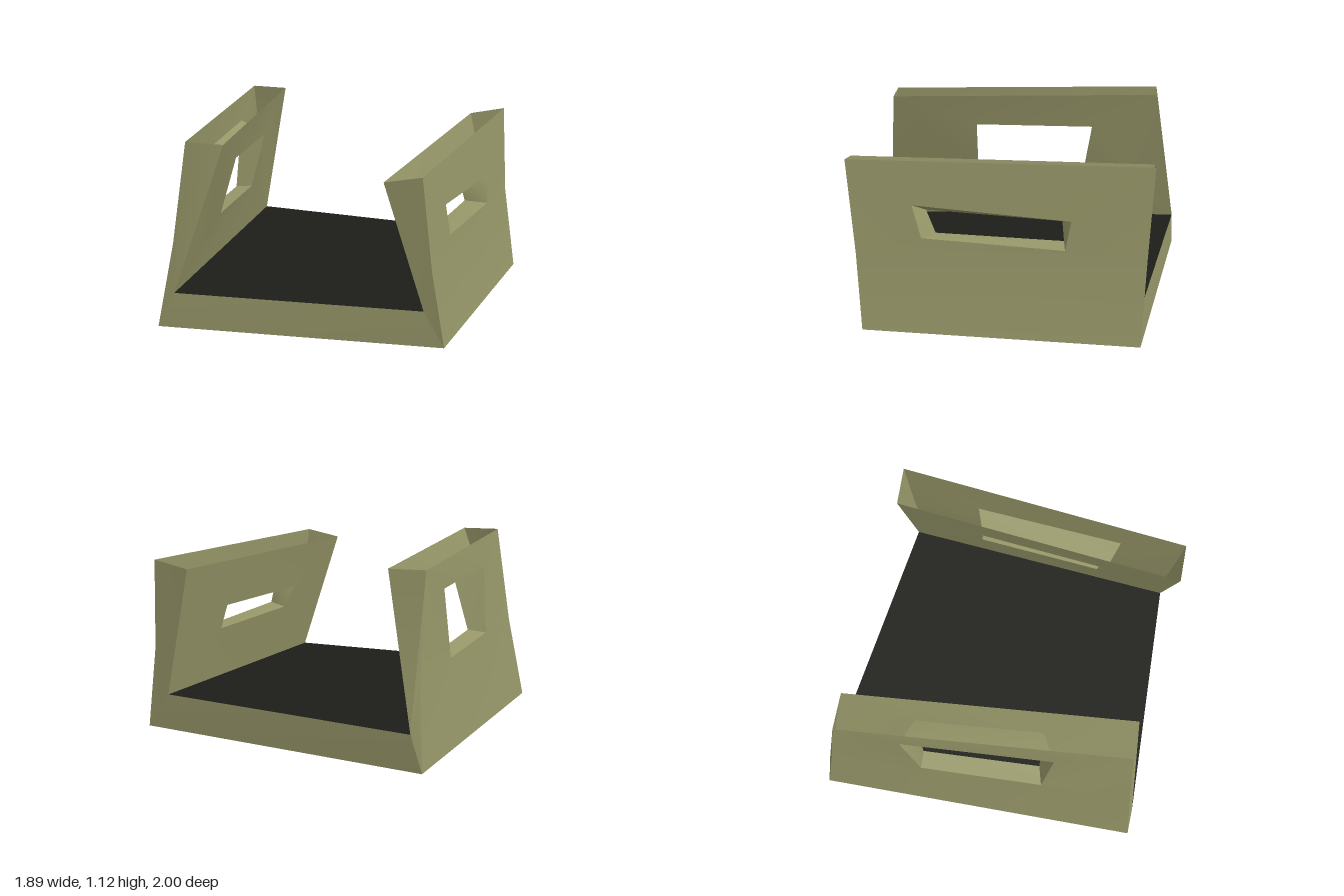
import * as THREE from 'three';
import { toCreasedNormals } from 'three/addons/utils/BufferGeometryUtils.js';

const olive = new THREE.MeshStandardMaterial({ color: 0x98986a, side: THREE.DoubleSide });
const dark = new THREE.MeshStandardMaterial({ color: 0x1c1c18, side: THREE.DoubleSide });

// Thin sheet made from convex polygons, each fanned into triangles
function sheet(name, polygons, material = olive) {
  const pos = [];
  for (const p of polygons) {
    for (let i = 1; i < p.length - 1; i++) pos.push(...p[0], ...p[i], ...p[i + 1]);
  }
  let geo = new THREE.BufferGeometry();
  geo.setAttribute('position', new THREE.Float32BufferAttribute(pos, 3));
  geo = toCreasedNormals(geo, 0.5);
  const mesh = new THREE.Mesh(geo, material);
  mesh.name = name;
  return mesh;
}

// Quads bridging two four-cornered loops
const bridge = (a, b) => a.map((_, i) => {
  const j = (i + 1) % a.length;
  return [a[i], a[j], b[j], b[i]];
});

// Put a (z, y) point onto a panel given as [front low, back low, back high, front high]
function onPanel([fl, bl, bh, fh], [z, y]) {
  const edge = (lo, hi) => {
    const t = (y - lo[1]) / (hi[1] - lo[1]);
    return lo.map((v, k) => v + (hi[k] - v) * t);
  };
  const f = edge(fl, fh), b = edge(bl, bh);
  return [f[0] + (b[0] - f[0]) * (z - f[2]) / (b[2] - f[2]), y, z];
}

// Hollow side wall, open at the top, with a tapered handle opening through it
function sideWall(name, front, back, outerHole, innerHole) {
  const wall = new THREE.Group();
  wall.name = name;
  const outer = [front.mid, back.mid, back.outer, front.outer];
  const inner = [front.floor, back.floor, back.inner, front.inner];
  const outHole = outerHole.map((p) => onPanel(outer, p));
  const inHole = innerHole.map((p) => onPanel(inner, p));
  wall.add(
    sheet('outerPanel', [[front.base, back.base, back.mid, front.mid], ...bridge(outer, outHole)]),
    sheet('innerPanel', bridge(inner, inHole)),
    sheet('handleOpening', bridge(outHole, inHole)),
  );
  for (const [label, e] of [['frontEnd', front], ['backEnd', back]]) {
    wall.add(sheet(label, [[e.floor, e.base, e.mid, e.outer, e.inner]]));
  }
  return wall;
}

export function createModel() {
  const model = new THREE.Group();
  model.name = 'openTray';

  // Corner profiles of the two walls
  const leftFront = {
    base: [0.77, 0, 0.91], mid: [0.70, 0.46, 0.945], outer: [0.65, 1.02, 1.0],
    inner: [0.43, 0.98, 1.0], floor: [0.65, 0.215, 0.92],
  };
  const leftBack = {
    base: [0.945, 0, -0.74], mid: [0.87, 0.51, -0.77], outer: [0.84, 1.055, -0.805],
    inner: [0.62, 1.01, -0.805], floor: [0.80, 0.215, -0.75],
  };
  const rightFront = {
    base: [-0.945, 0, 0.96], mid: [-0.85, 0.51, 0.92], outer: [-0.77, 1.115, 0.88],
    inner: [-0.54, 1.11, 0.88], floor: [-0.84, 0.215, 0.955],
  };
  const rightBack = {
    base: [-0.945, 0, -1.0], mid: [-0.905, 0.5, -0.935], outer: [-0.905, 1.115, -0.86],
    inner: [-0.68, 1.11, -0.86], floor: [-0.87, 0.215, -0.99],
  };

  // Openings as (z, y): front low, back low, back high, front high
  model.add(
    sideWall('leftWall', leftFront, leftBack,
      [[0.55, 0.57], [-0.295, 0.54], [-0.33, 0.715], [0.605, 0.765]],
      [[0.48, 0.56], [-0.285, 0.55], [-0.27, 0.7], [0.54, 0.69]]),
    sideWall('rightWall', rightFront, rightBack,
      [[0.37, 0.525], [-0.375, 0.52], [-0.485, 0.95], [0.43, 0.94]],
      [[0.34, 0.54], [-0.38, 0.53], [-0.43, 0.88], [0.34, 0.9]]),
  );

  // Low skirts and floor joining the walls; the underside stays open
  model.add(
    sheet('frontSkirt', [[rightFront.base, leftFront.base, leftFront.floor, rightFront.floor]]),
    sheet('backSkirt', [[leftBack.base, rightBack.base, rightBack.floor, leftBack.floor]]),
    sheet('floor', [[rightFront.floor, leftFront.floor, leftBack.floor, rightBack.floor]], dark),
  );
  return model;
}
